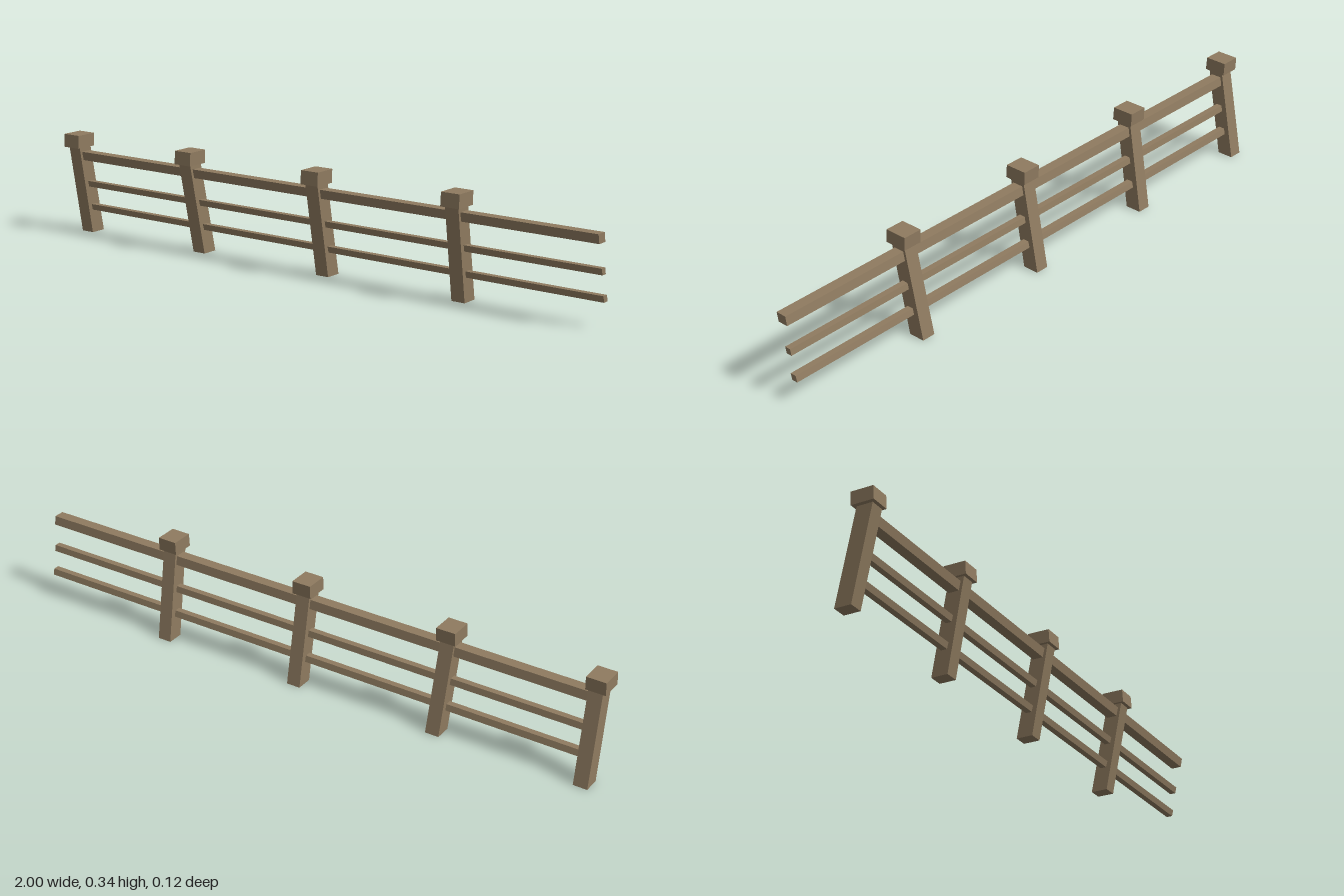
import * as THREE from 'three';

const wood = new THREE.MeshStandardMaterial({ color: 0x8f7b60, flatShading: true });

// Box whose bottom and top rectangles are given separately as [x0, x1, z0, z1]
function slantedBox(name, y0, y1, bottom, top) {
  const geo = new THREE.BoxGeometry(1, 1, 1);
  const p = geo.attributes.position;
  for (let i = 0; i < p.count; i++) {
    const up = p.getY(i) > 0;
    const r = up ? top : bottom;
    p.setXYZ(i, p.getX(i) > 0 ? r[1] : r[0], up ? y1 : y0, p.getZ(i) > 0 ? r[3] : r[2]);
  }
  geo.computeVertexNormals();
  const mesh = new THREE.Mesh(geo, wood);
  mesh.name = name;
  return mesh;
}

export function createModel() {
  const fence = new THREE.Group();
  fence.name = 'fence';

  // Leaning posts with block caps: centre x at the foot, at the neck, and of the cap
  const posts = [
    [-0.966, -0.964, -0.968],
    [-0.475, -0.484, -0.484],
    [0.021, 0.021, 0.02],
    [0.519, 0.527, 0.527],
  ];
  for (const [foot, neck, cap] of posts) {
    const post = new THREE.Group();
    post.name = 'post';
    post.add(
      slantedBox('postShaft', 0, 0.3,
        [foot - 0.023, foot + 0.023, -0.059, -0.005],
        [neck - 0.023, neck + 0.023, -0.002, 0.05]),
      slantedBox('postCap', 0.297, 0.34,
        [cap - 0.032, cap + 0.032, -0.013, 0.061],
        [cap - 0.032, cap + 0.032, -0.015, 0.058]),
    );
    fence.add(post);
  }

  // Rails running from inside the first post past the last: y0, y1, bottom z range, top z range
  const rails = [
    ['topRail', 0.254, 0.283, [-0.002, 0.032], [0.003, 0.038]],
    ['middleRail', 0.16, 0.18, [-0.011, 0.008], [-0.007, 0.013]],
    ['bottomRail', 0.078, 0.098, [-0.027, -0.007], [-0.022, -0.002]],
  ];
  for (const [name, y0, y1, low, high] of rails) {
    fence.add(slantedBox(name, y0, y1, [-0.965, 1, ...low], [-0.965, 1, ...high]));
  }
  return fence;
}
